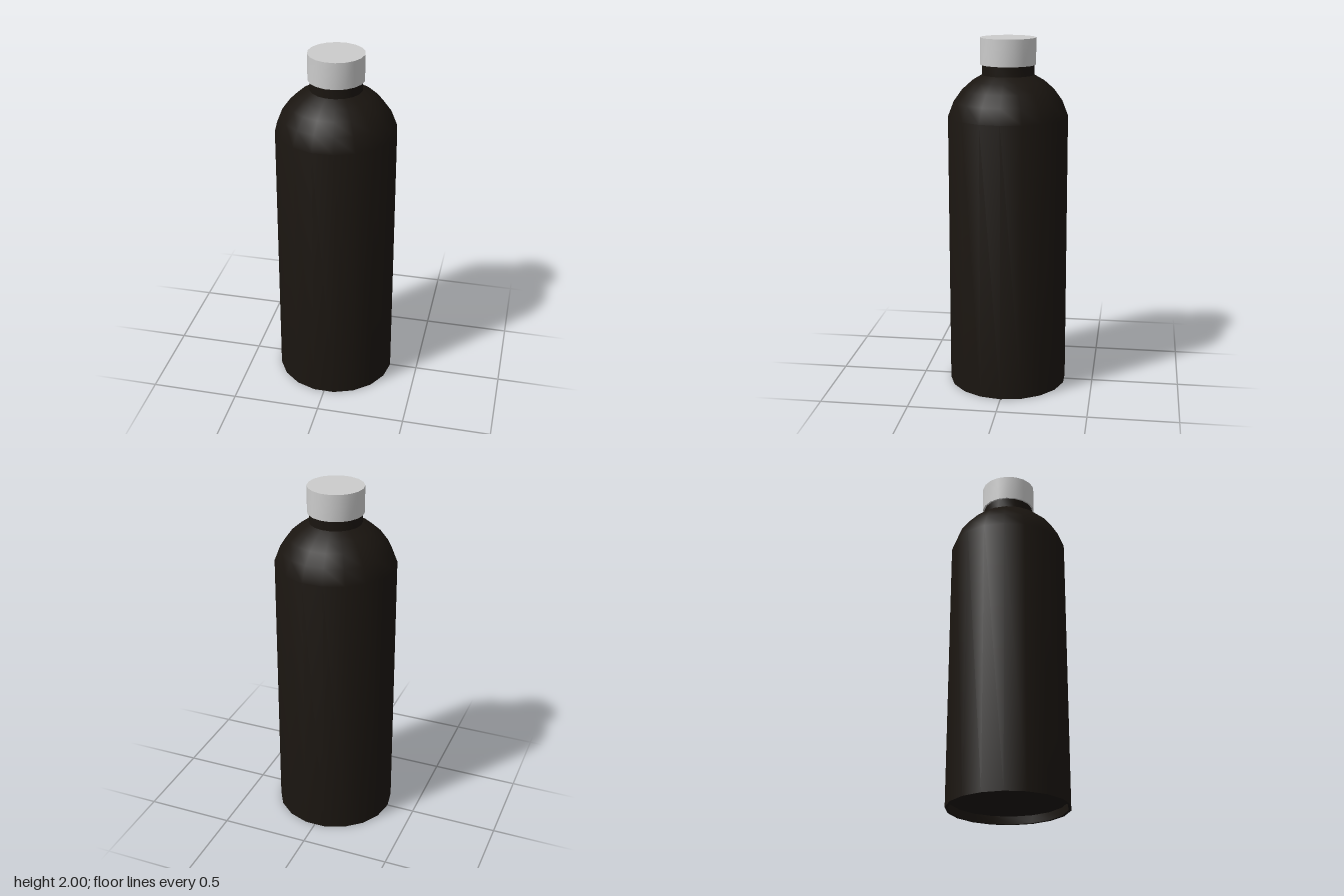
import * as THREE from 'three';
import { toCreasedNormals } from 'three/addons/utils/BufferGeometryUtils.js';

const SIDES = 18;

export function createModel() {
  const group = new THREE.Group();
  group.name = 'bottle';

  const add = (name, geometry, color) => {
    geometry.rotateY(Math.PI / 2); // put a corner of the polygon on the x axis
    const mesh = new THREE.Mesh(
      toCreasedNormals(geometry, 0.6),
      new THREE.MeshStandardMaterial({ color })
    );
    mesh.name = name;
    group.add(mesh);
  };

  // Body: recessed base, straight wall, rounded shoulder and short neck
  const profile = [
    [0, 0.045], [0.323, 0.045], [0.323, 0], [0.339, 0],
    [0.336, 1.565], [0.303, 1.65], [0.256, 1.715], [0.202, 1.763],
    [0.145, 1.796], [0.145, 1.87],
  ].map(([r, y]) => new THREE.Vector2(r, y));
  add('body', new THREE.LatheGeometry(profile, SIDES), 0x1a1510);

  // Screw cap, slightly wider than the neck
  const cap = new THREE.CylinderGeometry(0.155, 0.155, 0.148, SIDES);
  cap.translate(0, 1.926, 0);
  add('cap', cap, 0xcccccc);

  return group;
}
